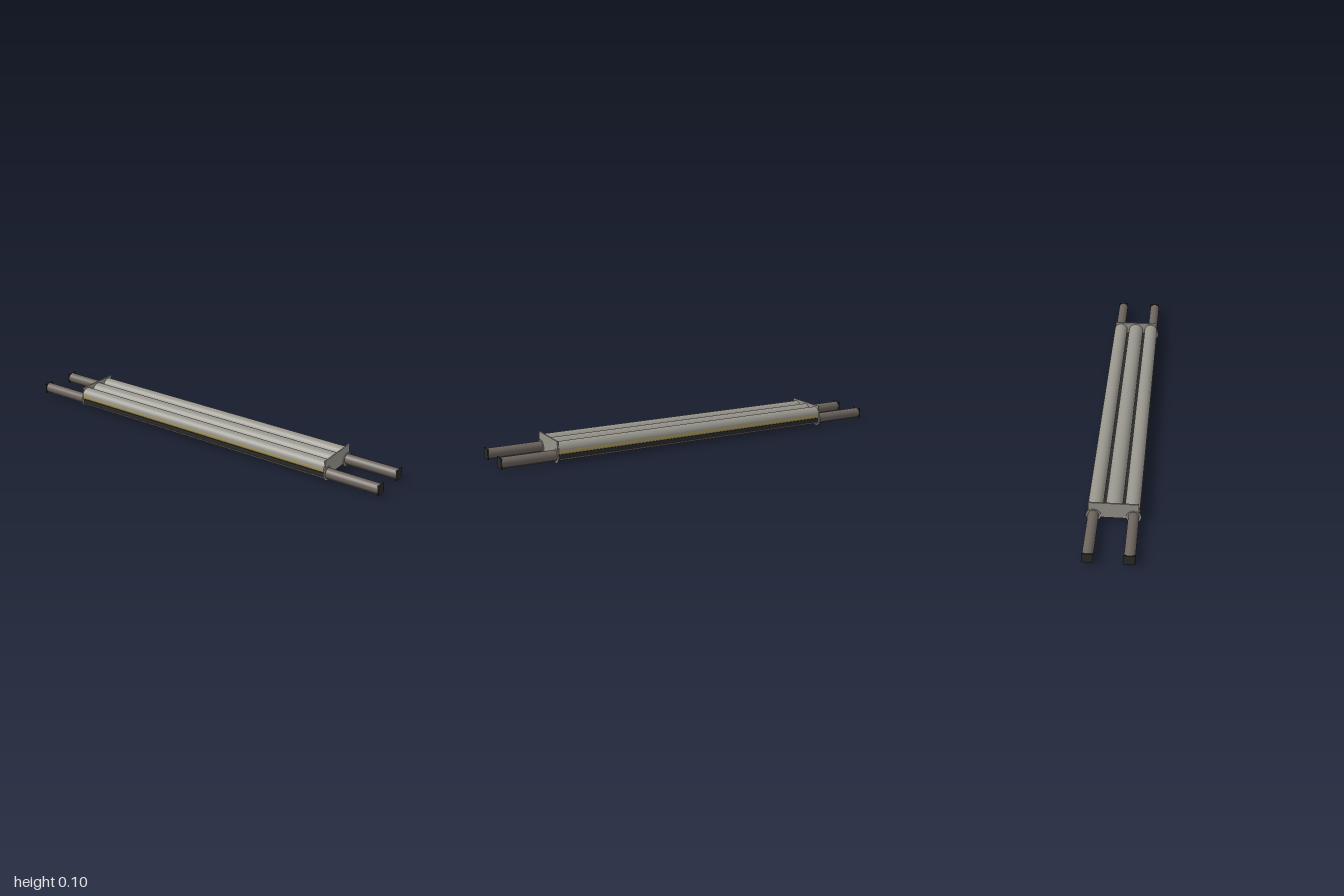
import * as THREE from 'three';

const mat = (name, color) => {
  const m = new THREE.MeshStandardMaterial({ color });
  m.name = name;
  return m;
};

export function createModel() {
  const group = new THREE.Group();
  const grey = mat('warm grey', 0x96948b);
  const brown = mat('dark brown', 0x6b635c);
  const black = mat('black', 0x2a2a29);
  const tan = mat('tan', 0xb3a266);

  const add = (name, geometry, material, x, y, z) => {
    const mesh = new THREE.Mesh(geometry, material);
    mesh.name = name;
    mesh.position.set(x, y, z);
    group.add(mesh);
    return mesh;
  };
  // Cylinder lying along z, optionally only part of the way round
  const rod = (r, length, start = 0, arc = Math.PI * 2, segments = 32) =>
    new THREE.CylinderGeometry(r, r, length, segments, 1, false, start, arc).rotateX(Math.PI / 2);
  const box = (w, h, d) => new THREE.BoxGeometry(w, h, d);

  // Flat bed: bottom sheet and dark frame
  add('bottomSheet', box(0.23, 0.006, 1.45), brown, 0, 0.019, 0);
  add('bedFrame', box(0.226, 0.021, 1.45), black, 0, 0.0325, 0);

  // Three long rolls, grey on the upper half and tan on the lower half
  for (const [x, r] of [[-0.082, 0.034], [0, 0.038], [0.082, 0.034]]) {
    const y = 0.097 - r;
    add('rollTop', rod(r, 1.45, Math.PI / 2, Math.PI, 20), grey, x, y, 0);
    add('rollUnderside', rod(r, 1.45, -Math.PI / 2, Math.PI, 20), tan, x, y, 0);
  }

  for (const end of [-1, 1]) {
    add('endPlate', box(0.222, 0.083, 0.006), grey, 0, 0.0635, end * 0.728);
    for (const side of [-1, 1]) {
      const x = side * 0.089;
      // Carrying pole with collar, square end cap and narrow runner beneath
      add('pole', rod(0.0245, 0.265), brown, x, 0.0375, end * 0.8625);
      add('poleRunner', box(0.027, 0.01, 0.265), brown, x, 0.0175, end * 0.8625);
      add('poleCollar', rod(0.034, 0.005), grey, x, 0.034, end * 0.7305);
      add('poleCap', box(0.05, 0.05, 0.006), black, x, 0.0375, end * 0.997);
    }
  }
  return group;
}
